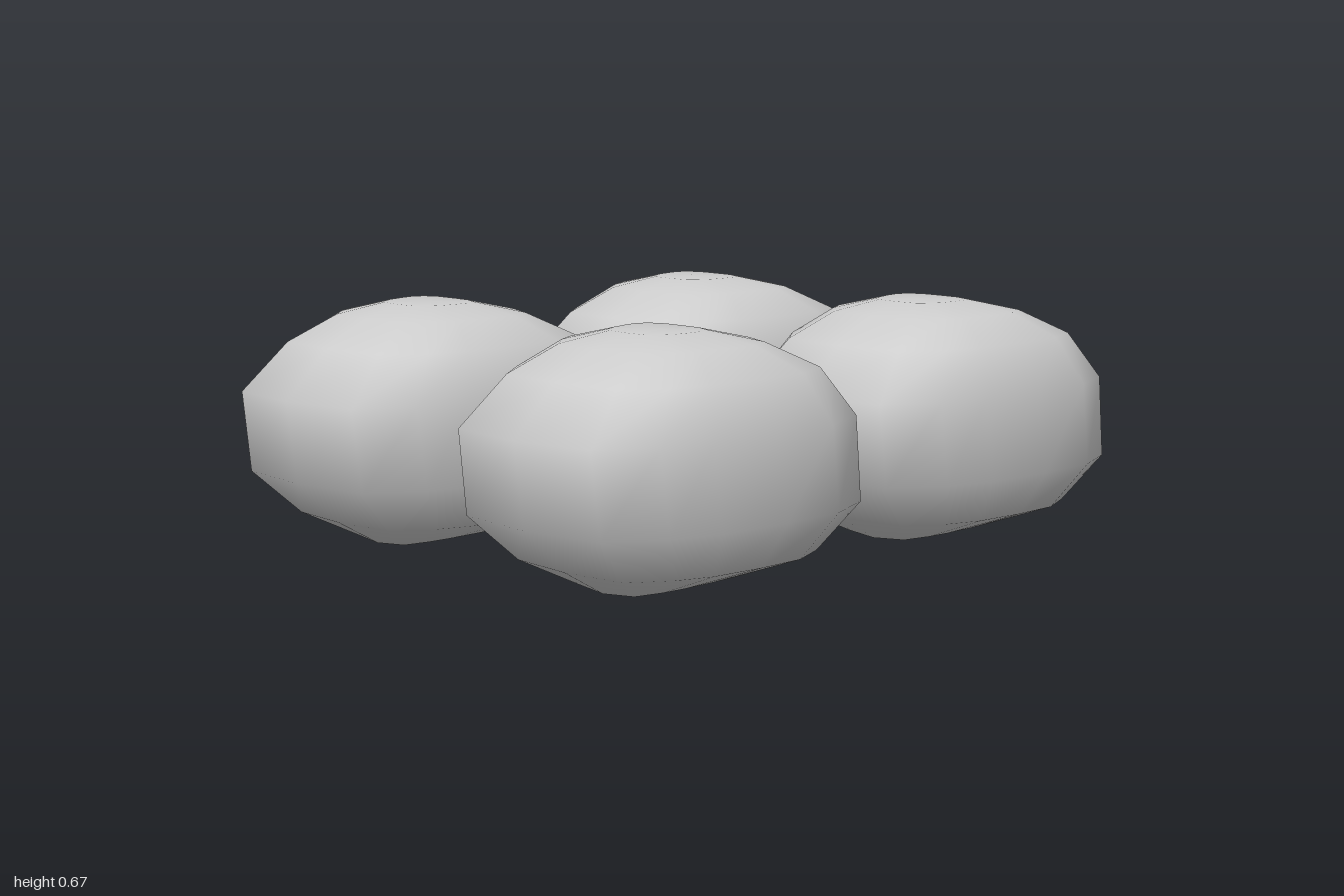
import * as THREE from 'three';

// Half outline seen from above, back to front: [x, z along the length 0..1]
const HALF = [[0, 0], [0.51, 0.01], [0.88, 0.1], [1, 0.26], [0.98, 0.46], [0.91, 0.68], [0.79, 0.82], [0.56, 0.97], [0, 1]];
const OUTLINE = [...HALF, ...HALF.slice(1, -1).reverse().map(([x, z]) => [-x, z])];

// Horizontal sections from bottom to top: [height, half width, back z, front z, rise at the sides]
const SECTIONS = [
  [0.0, 0.18, 0.28, 0.69, 0.02],
  [0.08, 0.34, 0.12, 0.83, 0],
  [0.21, 0.43, 0.01, 0.97, 0],
  [0.44, 0.42, 0.02, 1.0, 0],
  [0.57, 0.35, 0.12, 0.86, 0],
  [0.64, 0.25, 0.27, 0.72, 0],
  [0.67, 0.12, 0.39, 0.6, 0],
];

function bunGeometry() {
  const pos = [], index = [], n = OUTLINE.length, last = SECTIONS.length - 1;
  for (const [y, w, back, front, rise] of SECTIONS) {
    for (const [x, z] of OUTLINE) pos.push(x * w, y + rise * x * x, back + z * (front - back));
  }
  // Centre points closing the underside and the crown
  const bottom = n * SECTIONS.length, top = bottom + 1;
  pos.push(0, 0, 0.48, 0, 0.673, 0.5);
  for (let i = 0; i < n; i++) {
    const j = (i + 1) % n;
    for (let r = 0; r < last; r++) {
      const a = r * n + i, b = r * n + j;
      index.push(a, a + n, b, b, a + n, b + n);
    }
    index.push(bottom, i, j, top, last * n + j, last * n + i);
  }
  const geometry = new THREE.BufferGeometry();
  geometry.setAttribute('position', new THREE.Float32BufferAttribute(pos, 3));
  geometry.setIndex(index);
  geometry.computeVertexNormals();
  return geometry;
}

export function createModel() {
  const group = new THREE.Group();
  const geometry = bunGeometry();
  const material = new THREE.MeshStandardMaterial({ color: 0xcccccc });
  // Two staggered rows of two
  const places = [
    ['frontRightBun', -0.49, 0], ['frontLeftBun', 0.405, 0],
    ['backRightBun', -0.39, -1.01], ['backLeftBun', 0.49, -1.01],
  ];
  for (const [name, x, z] of places) {
    const bun = new THREE.Mesh(geometry, material);
    bun.name = name;
    bun.position.set(x, 0, z);
    group.add(bun);
  }
  return group;
}
